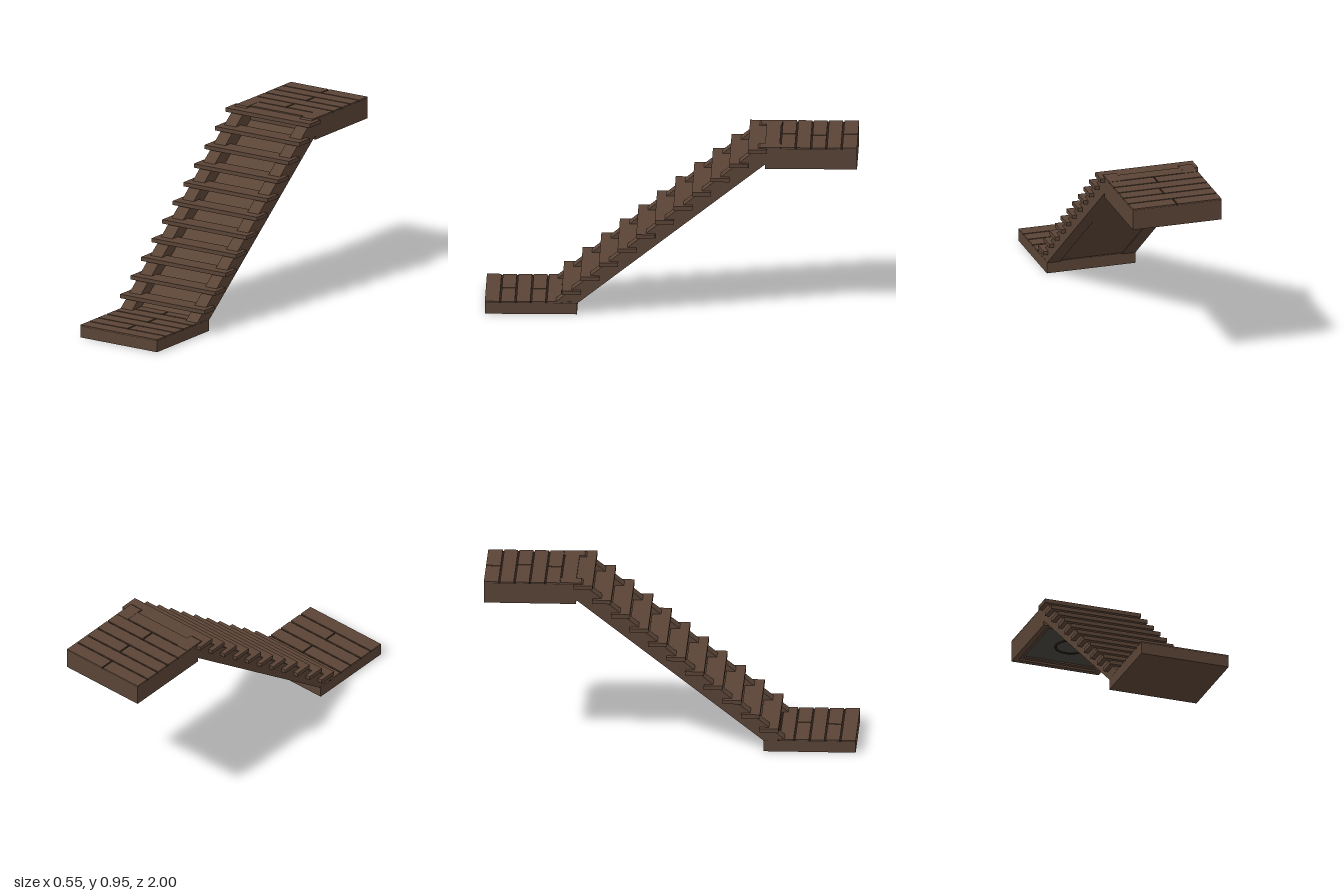
import * as THREE from 'three';

const wood = new THREE.MeshStandardMaterial({ color: 0x5a4436 });
const groove = new THREE.MeshStandardMaterial({ color: 0x2a1f19 });
const grey = new THREE.MeshStandardMaterial({ color: 0x4a463e });

const HALF = 0.25;      // half width of platforms and stringers
const INNER = 0.175;    // inner face of the stringers
const LENGTH = 0.495;   // platform length

function add(parent, name, geometry, material = wood) {
  const mesh = new THREE.Mesh(geometry, material);
  mesh.name = name;
  parent.add(mesh);
  return mesh;
}

// Box given by its limits on each axis
function box(parent, name, [x0, x1], [y0, y1], [z0, z1], material) {
  const mesh = add(parent, name, new THREE.BoxGeometry(x1 - x0, y1 - y0, z1 - z0), material);
  mesh.position.set((x0 + x1) / 2, (y0 + y1) / 2, (z0 + z1) / 2);
  return mesh;
}

// Side profile of [z, y] points, extruded across x from x0 to x1
function sideProfile(points, x0, x1) {
  const shape = new THREE.Shape(points.map(([z, y]) => new THREE.Vector2(z, y)));
  const g = new THREE.ExtrudeGeometry(shape, { depth: x1 - x0, bevelEnabled: false });
  return g.rotateY(-Math.PI / 2).translate(x1, 0, 0);
}

// Horizontal rectangular frame centred on z = 0, from y0 to y1
function frame(outer, inner, y0, y1) {
  const rect = (r, T) => {
    const p = new T();
    p.moveTo(-r, -r).lineTo(r, -r).lineTo(r, r).lineTo(-r, r).closePath();
    return p;
  };
  const shape = rect(outer, THREE.Shape);
  shape.holes.push(rect(inner, THREE.Path));
  const g = new THREE.ExtrudeGeometry(shape, { depth: y1 - y0, bevelEnabled: false });
  return g.rotateX(-Math.PI / 2).translate(0, y0, 0);
}

// Six rows of planks, every second row split by a joint
function planks(parent, top, z0) {
  const group = new THREE.Group();
  group.name = 'planks';
  parent.add(group);
  const rows = 6, step = LENGTH / rows, gap = 0.004, depth = 0.007;
  const joints = [0, 0.02, 0];
  for (let i = 0; i < rows; i++) {
    const z = [z0 + i * step + (i ? gap : 0), z0 + (i + 1) * step - (i < rows - 1 ? gap : 0)];
    const y = [top - depth, top];
    if (i % 2) {
      box(group, 'plank', [-HALF, HALF], y, z);
    } else {
      const j = joints[i / 2];
      box(group, 'plank', [-HALF, j - gap], y, z);
      box(group, 'plank', [j + gap, HALF], y, z);
    }
  }
  // dark bed seen through the gaps
  box(group, 'grooveBed', [-HALF, HALF], [top - depth - 0.002, top - depth], [z0, z0 + LENGTH], groove);
}

export function createModel() {
  const model = new THREE.Group();
  model.name = 'staircase';

  // Lower platform
  const lower = new THREE.Group();
  lower.name = 'lowerPlatform';
  model.add(lower);
  box(lower, 'lowerBase', [-HALF, HALF], [0, 0.061], [0.505, 1]);
  planks(lower, 0.07, 0.505);

  // Upper platform with a stepped recess underneath
  const upper = new THREE.Group();
  upper.name = 'upperPlatform';
  model.add(upper);
  const mid = -1 + LENGTH / 2;
  box(upper, 'upperBase', [-HALF, HALF], [0.848, 0.936], [-1, -1 + LENGTH]);
  planks(upper, 0.945, -1);
  const sz = LENGTH / (2 * HALF);
  for (const [name, outer, inner, y0, y1] of [
    ['outerRim', HALF, 0.22, 0.825, 0.848],
    ['innerRim', 0.22, 0.198, 0.836, 0.848],
  ]) {
    const rim = add(upper, name, frame(outer, inner, y0, y1));
    rim.position.z = mid;
    rim.scale.z = sz;
  }
  box(upper, 'ceilingPanel', [-0.198, 0.198], [0.844, 0.848], [mid - 0.197, mid + 0.197], grey);
  const ring = add(upper, 'ceilingRing', new THREE.TorusGeometry(0.083, 0.006, 8, 40), groove);
  ring.rotation.x = Math.PI / 2;
  ring.position.set(0, 0.844, mid);

  // Sloping stringers, left and right
  const stringer = [
    [0.62, 0.068], [0.505, 0.06], [-0.5, 0.845], [-0.59, 0.849],
    [-0.59, 0.946], [-0.477, 0.946],
  ];
  for (const [name, x0, x1] of [['leftStringer', INNER, HALF - 0.0005], ['rightStringer', -HALF + 0.0005, -INNER]]) {
    const points = stringer.map((p) => p.slice());
    add(model, name, sideProfile(points, x0, x1));
  }

  // Thin panel closing the underside between the stringers
  add(model, 'undersidePanel', sideProfile(
    [[0.53, 0.068], [0.505, 0.068], [-0.51, 0.851], [-0.51, 0.869]], -INNER, INNER));

  // Treads
  const treads = new THREE.Group();
  treads.name = 'treads';
  model.add(treads);
  for (let i = 0; i < 11; i++) {
    const y = 0.126 + 0.0801 * i, z = 0.535 - 0.1 * i;
    box(treads, 'tread', [-0.275, 0.275], [y - 0.011, y + 0.011], [z - 0.051, z + 0.051]);
  }
  return model;
}
